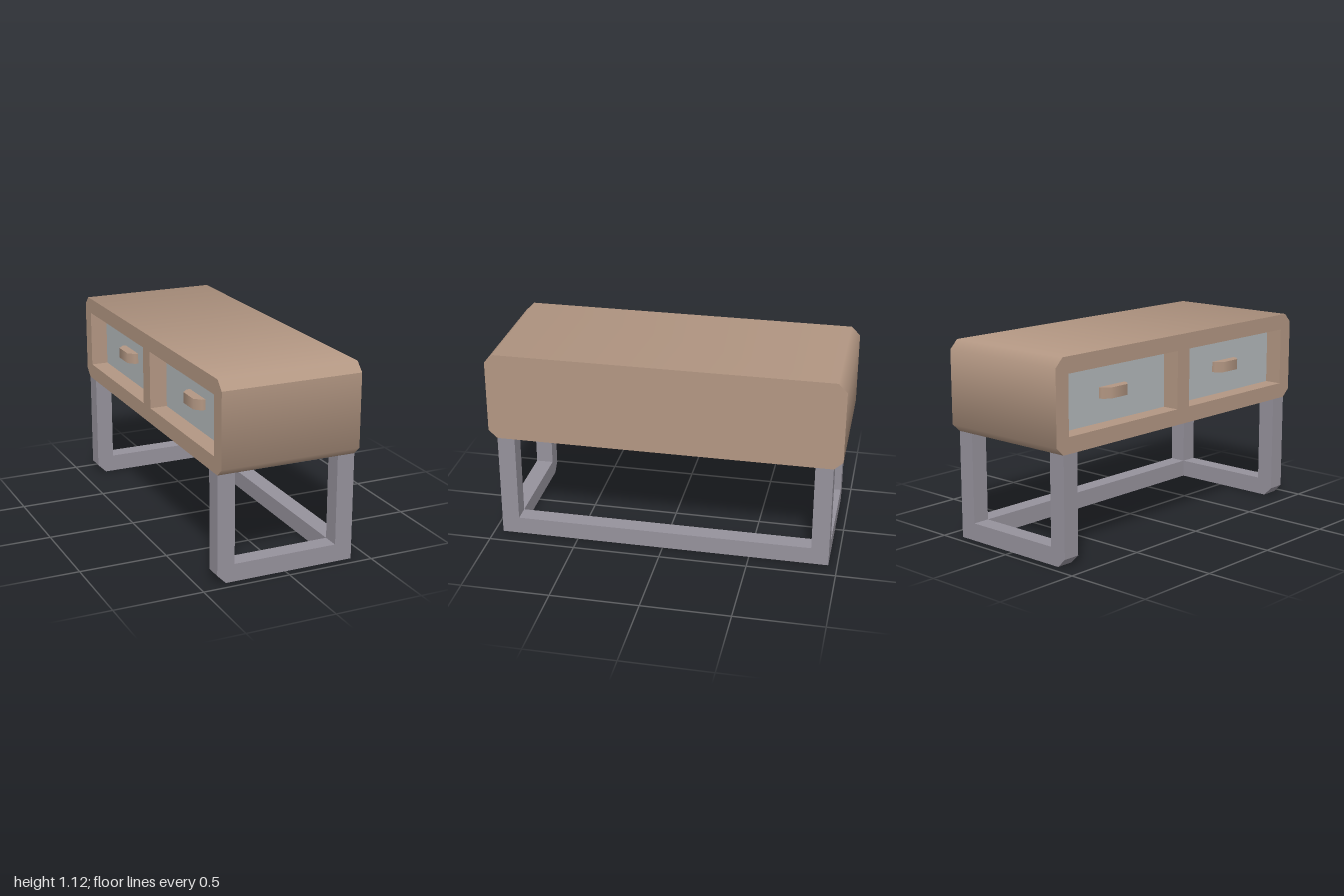
import * as THREE from 'three';
import { mergeGeometries } from 'three/addons/utils/BufferGeometryUtils.js';

const wood = new THREE.MeshStandardMaterial({ color: 0xb39783 });
wood.name = 'wood';
const metal = new THREE.MeshStandardMaterial({ color: 0x96929c });
metal.name = 'greyFrame';
const panelGrey = new THREE.MeshStandardMaterial({ color: 0xb3b8ba });
panelGrey.name = 'drawerGrey';

function add(parent, name, geometry, material, x = 0, y = 0, z = 0) {
  const mesh = new THREE.Mesh(geometry, material);
  mesh.name = name;
  mesh.position.set(x, y, z);
  parent.add(mesh);
  return mesh;
}

// Prism along x from a (z, y) outline: smooth around the outline, flat end caps.
function smoothPrism(outline, width, holes = []) {
  const pts = outline.map(([z, y]) => new THREE.Vector2(z, y));
  const sides = pts.slice(1).map((p, i) => {
    const d = p.clone().sub(pts[i]).normalize();
    return new THREE.Vector2(d.y, -d.x);
  });
  const pos = [], nor = [], idx = [];
  pts.forEach((p, i) => {
    const n = new THREE.Vector2();
    if (i > 0) n.add(sides[i - 1]);
    if (i < sides.length) n.add(sides[i]);
    n.normalize();
    for (const x of [-width / 2, width / 2]) {
      pos.push(x, p.y, p.x);
      nor.push(0, n.y, n.x);
    }
    const a = i * 2;
    if (i < sides.length) idx.push(a, a + 1, a + 3, a, a + 3, a + 2);
  });
  const band = new THREE.BufferGeometry();
  band.setAttribute('position', new THREE.Float32BufferAttribute(pos, 3));
  band.setAttribute('normal', new THREE.Float32BufferAttribute(nor, 3));
  band.setIndex(idx);

  const face = new THREE.Shape(pts);
  const back = new THREE.ShapeGeometry(face).rotateY(Math.PI / 2).translate(width / 2, 0, 0);
  face.holes = holes;
  const front = new THREE.ShapeGeometry(face).rotateY(-Math.PI / 2).translate(-width / 2, 0, 0);
  for (const g of [back, front]) g.deleteAttribute('uv');
  return mergeGeometries([band, back, front]);
}

export function createModel() {
  const model = new THREE.Group();
  model.name = 'drawerBench';

  // Cabinet body with chamfered ends and two drawer openings in the -x face
  const z0 = 0.05, z1 = 0.91, y0 = 0.7, y1 = 1.03, depth = 0.1;
  const outline = [
    [1, 1.07], [0.95, 1.12], [-0.95, 1.12], [-1, 1.07],
    [-1, 0.655], [-0.95, 0.61], [0.95, 0.61], [1, 0.655], [1, 1.07],
  ];
  const holes = [1, -1].map((s) => new THREE.Path([
    new THREE.Vector2(s * z0, y0), new THREE.Vector2(s * z0, y1),
    new THREE.Vector2(s * z1, y1), new THREE.Vector2(s * z1, y0),
  ]));
  add(model, 'cabinetBody', smoothPrism(outline, 0.8, holes), wood);

  // Recess walls, drawer fronts and handles
  const w = z1 - z0, h = y1 - y0, yc = (y0 + y1) / 2;
  const d = 0.055, c = 0.035, hz = 0.1;
  const handleOutline = [[hz, 0], [hz, d - c], [hz - c, d], [c - hz, d], [-hz, d - c], [-hz, 0]];
  for (const s of [1, -1]) {
    const drawer = new THREE.Group();
    drawer.name = s > 0 ? 'frontDrawer' : 'backDrawer';
    drawer.position.set(-0.4, yc, s * (z0 + z1) / 2);
    model.add(drawer);
    const walls = [
      new THREE.PlaneGeometry(depth, w).rotateX(-Math.PI / 2).translate(0, -h / 2, 0),
      new THREE.PlaneGeometry(depth, w).rotateX(Math.PI / 2).translate(0, h / 2, 0),
      new THREE.PlaneGeometry(depth, h).translate(0, 0, -w / 2),
      new THREE.PlaneGeometry(depth, h).rotateY(Math.PI).translate(0, 0, w / 2),
    ];
    add(drawer, 'recessWalls', mergeGeometries(walls), wood, depth / 2);
    add(drawer, 'drawerFront', new THREE.BoxGeometry(0.02, h, w), panelGrey, depth + 0.01);
    add(drawer, 'drawerHandle', smoothPrism(handleOutline, 0.06).rotateZ(Math.PI / 2), wood, depth);
  }

  // U-shaped end frames, chamfered at the lower -x corner
  const u = new THREE.Shape([
    [-0.4, 0.61], [-0.4, 0.05], [-0.35, 0], [0.4, 0], [0.4, 0.61],
    [0.3, 0.61], [0.3, 0.1], [-0.3, 0.1], [-0.3, 0.61],
  ].map(([x, y]) => new THREE.Vector2(x, y)));
  const endFrame = new THREE.ExtrudeGeometry(u, { depth: 0.1, bevelEnabled: false }).translate(0, 0, -0.05);
  add(model, 'frontLegFrame', endFrame, metal, 0, 0, 0.9);
  add(model, 'backLegFrame', endFrame, metal, 0, 0, -0.9);

  // Floor rail joining the two end frames on the +x side
  add(model, 'floorRail', new THREE.BoxGeometry(0.1, 0.1, 1.7), metal, 0.35, 0.05, 0);

  return model;
}
